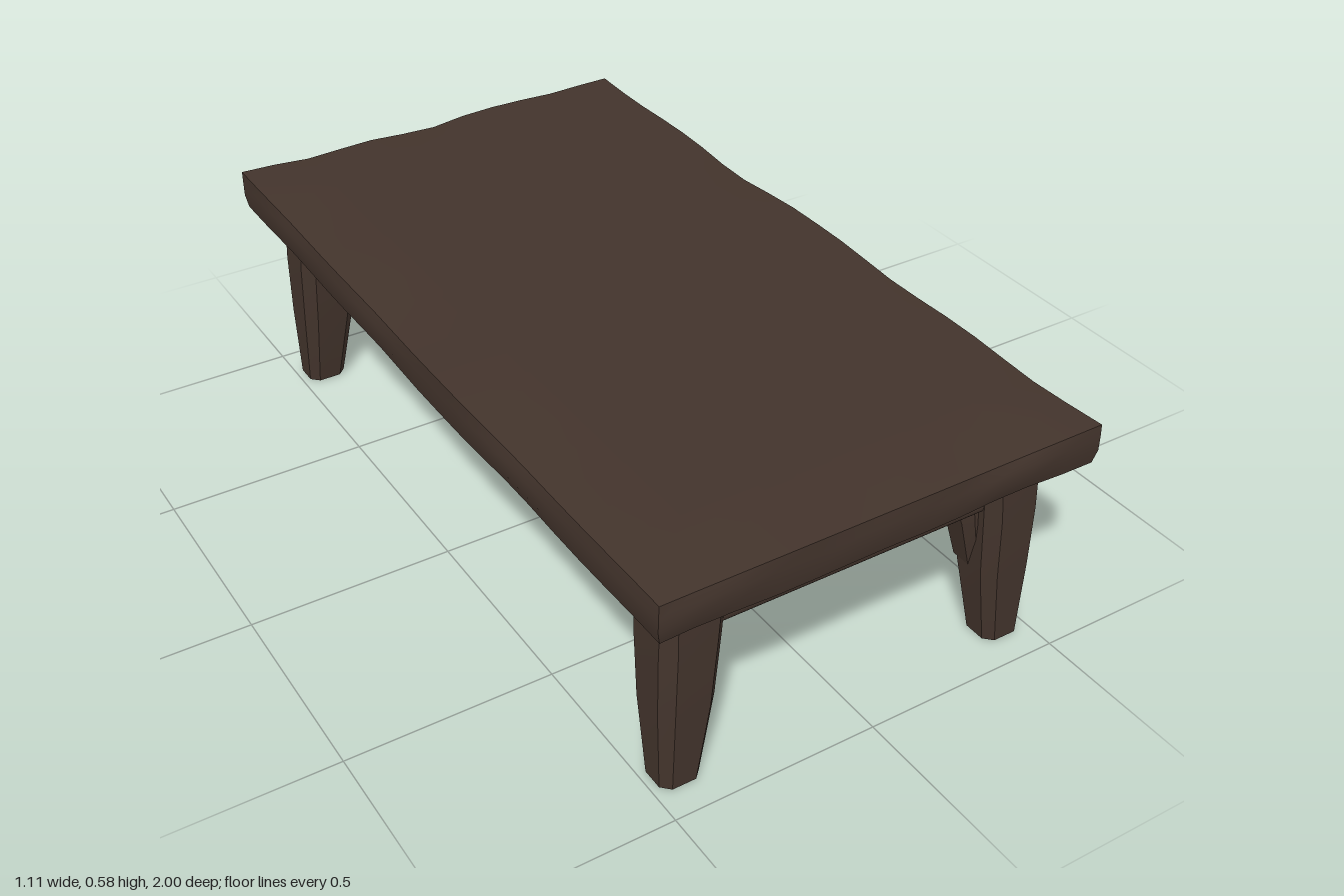
import * as THREE from 'three';
import { toCreasedNormals } from 'three/addons/utils/BufferGeometryUtils.js';
import { RoundedBoxGeometry } from 'three/addons/geometries/RoundedBoxGeometry.js';

const wood = new THREE.MeshStandardMaterial({ color: 0x43342c });
wood.name = 'dark wood';

function part(name, geometry) {
  const mesh = new THREE.Mesh(geometry, wood);
  mesh.name = name;
  return mesh;
}

// smooth uneven wear, 0..1
const wear = (x, z) =>
  Math.pow(0.5 + 0.25 * Math.sin(7 * x + 11 * z + 1) + 0.25 * Math.sin(17 * x - 6 * z + 2), 2);

// thick slab with slightly hewn edges
function slabGeometry() {
  const g = new THREE.BoxGeometry(1.1, 0.1, 1.99, 12, 3, 20);
  const p = g.attributes.position;
  for (let i = 0; i < p.count; i++) {
    let x = p.getX(i), y = p.getY(i), z = p.getZ(i);
    const side = Math.abs(x) > 0.549, end = Math.abs(z) > 0.994;
    if (side || end) {
      const w = wear(x, z);
      const rim = y > 0.049 ? 0.012 * w : y < -0.049 ? 0.006 + 0.008 * w : 0;
      if (side) x = Math.sign(x) * (0.547 + 0.006 * Math.cos(z * 1.5) - rim);
      if (end) z = Math.sign(z) * (1 - rim);
      if (y > 0.049) y -= 0.012 * w;
    }
    p.setXYZ(i, x, y + 0.535, z);
  }
  return toCreasedNormals(g, 0.5);
}

// loft through chamfered rectangles [y, x0, x1, z0, z1, chamfer]
function loft(sections) {
  const pos = [], idx = [], n = 8;
  for (const [y, x0, x1, z0, z1, c] of sections) {
    const ring = [[x0 + c, z0], [x0, z0 + c], [x0, z1 - c], [x0 + c, z1],
      [x1 - c, z1], [x1, z1 - c], [x1, z0 + c], [x1 - c, z0]];
    for (const [x, z] of ring) pos.push(x, y, z);
  }
  for (let s = 0; s < sections.length - 1; s++) {
    for (let i = 0; i < n; i++) {
      const a = s * n + i, b = s * n + (i + 1) % n;
      idx.push(a, b, b + n, a, b + n, a + n);
    }
  }
  const top = (sections.length - 1) * n;
  for (let i = 1; i < n - 1; i++) {
    idx.push(0, i + 1, i);
    idx.push(top, top + i, top + i + 1);
  }
  const g = new THREE.BufferGeometry();
  g.setAttribute('position', new THREE.Float32BufferAttribute(pos, 3));
  g.setIndex(idx);
  return toCreasedNormals(g, 0.6);
}

// tapered leg: [y, inner x, outer x, inner z, outer z, chamfer]
const LEG = [
  [0, 0.382, 0.48, 0.835, 0.927, 0.02],
  [0.2, 0.35, 0.486, 0.802, 0.933, 0.026],
  [0.36, 0.337, 0.486, 0.788, 0.935, 0.028],
  [0.49, 0.328, 0.48, 0.78, 0.93, 0.025],
];
function legGeometry(sx, sz) {
  const span = (s, a, b) => (s > 0 ? [a, b] : [-b, -a]);
  return loft(LEG.map(([y, xi, xo, zi, zo, c]) =>
    [y, ...span(sx, xi, xo), ...span(sz, zi, zo), c]));
}

export function createModel() {
  const table = new THREE.Group();
  table.name = 'low table';
  table.add(part('tabletop', slabGeometry()));

  for (const sx of [-1, 1]) {
    for (const sz of [-1, 1]) {
      table.add(part((sz > 0 ? 'front' : 'back') + (sx > 0 ? 'Left' : 'Right') + 'Leg',
        legGeometry(sx, sz)));
    }
  }

  // rails under the top
  for (const s of [-1, 1]) {
    const side = part('sideRail', new RoundedBoxGeometry(0.09, 0.13, 1.7, 3, 0.025));
    side.position.set(s * 0.41, 0.432, 0);
    const end = part('endRail', new RoundedBoxGeometry(0.8, 0.13, 0.09, 3, 0.025));
    end.position.set(0, 0.432, s * 0.86);
    table.add(side, end);
  }

  // small brace where one front leg flares into the rails
  table.add(part('cornerBrace', loft([
    [0.2, 0.35, 0.43, 0.802, 0.88, 0.015],
    [0.33, 0.312, 0.43, 0.79, 0.89, 0.02],
    [0.37, 0.3, 0.43, 0.75, 0.89, 0.025],
    [0.42, 0.3, 0.43, 0.74, 0.89, 0.025],
  ])));
  return table;
}
